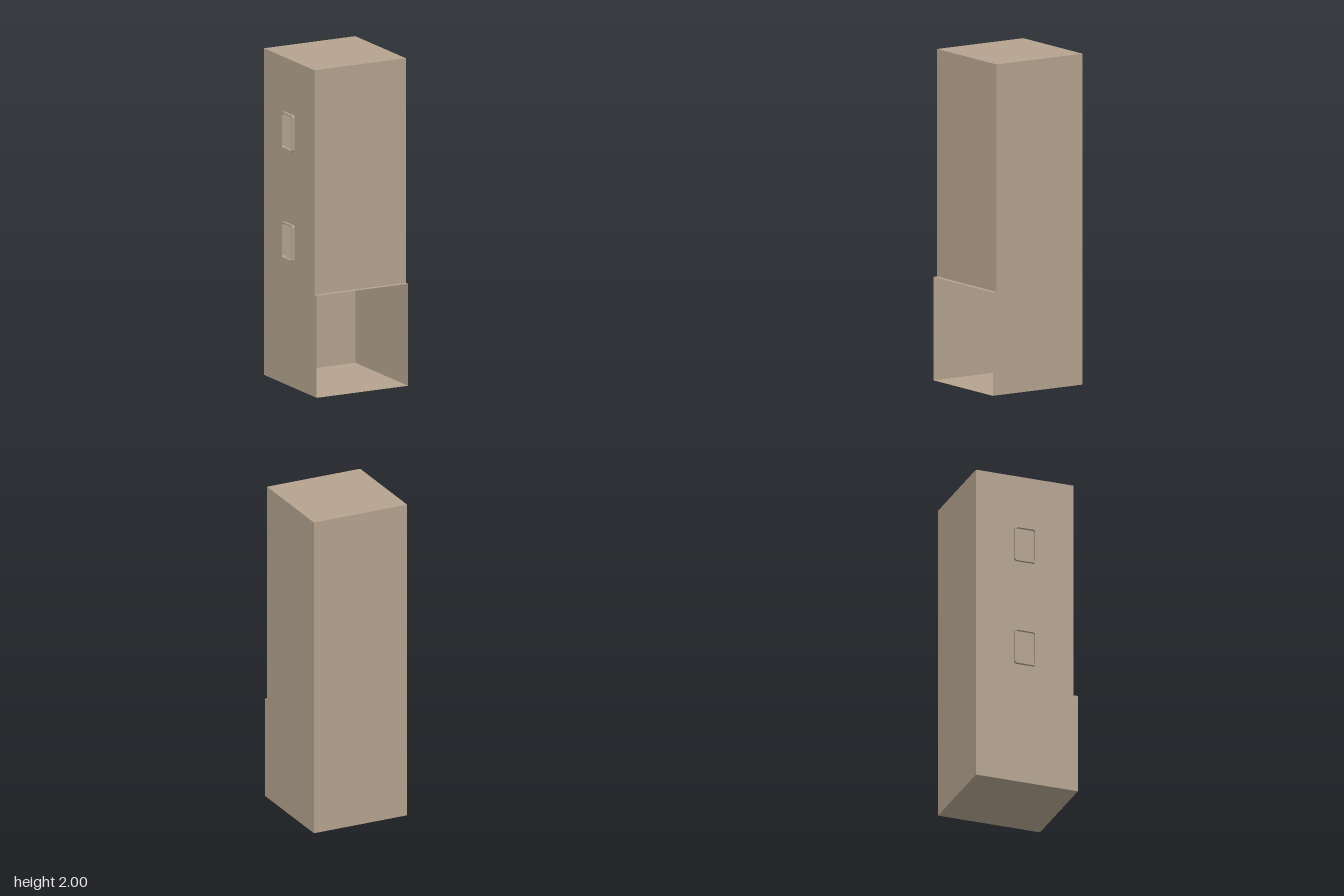
import * as THREE from 'three';

const LEFT = 0.318, RIGHT = -0.302;         // side walls (x)
const BACK = -0.325, FRONT = 0.297, STEP = 0.325; // back, upper front, lower front (z)
const TOP = 2, LEDGE = 0.625;
const WINDOWS = [0.77, 1.443];              // window sill heights
const WIN = { z: -0.082, w: 0.136, h: 0.226, rim: 0.01, out: 0.017 };

// Rectangle with rounded corners, traced onto a Shape or Path
function roundRect(path, x, y, w, h, r) {
  path.moveTo(x + r, y);
  path.lineTo(x + w - r, y);
  path.absarc(x + w - r, y + r, r, -Math.PI / 2, 0);
  path.lineTo(x + w, y + h - r);
  path.absarc(x + w - r, y + h - r, r, 0, Math.PI / 2);
  path.lineTo(x + r, y + h);
  path.absarc(x + r, y + h - r, r, Math.PI / 2, Math.PI);
  path.lineTo(x, y + r);
  path.absarc(x + r, y + r, r, Math.PI, Math.PI * 1.5);
  return path;
}

const windowHole = (y) => roundRect(new THREE.Path(), WIN.z + WIN.rim, y + WIN.rim,
  WIN.w - 2 * WIN.rim, WIN.h - 2 * WIN.rim, 0.01);

// Stepped side outline; s = -1 mirrors it front to back
const sideShape = (s) => new THREE.Shape([
  [BACK, 0], [STEP, 0], [STEP, LEDGE], [FRONT, LEDGE], [FRONT, TOP], [BACK, TOP],
].map(([z, y]) => new THREE.Vector2(s * z, y)));

export function createModel() {
  const group = new THREE.Group();
  const material = new THREE.MeshStandardMaterial({ color: 0xb3a28e, side: THREE.DoubleSide });
  const add = (name, geometry, x, y, z) => {
    const mesh = new THREE.Mesh(geometry, material);
    mesh.name = name;
    mesh.position.set(x, y, z);
    group.add(mesh);
  };
  const width = LEFT - RIGHT, cx = (LEFT + RIGHT) / 2;
  const upright = (h) => new THREE.PlaneGeometry(width, h);
  const flat = (z0, z1) => new THREE.PlaneGeometry(width, z1 - z0).rotateX(-Math.PI / 2);

  // Thin shell, open at the lower front
  add('backWall', upright(TOP).rotateY(Math.PI), cx, TOP / 2, BACK);
  add('upperFrontWall', upright(TOP - LEDGE), cx, (TOP + LEDGE) / 2, FRONT);
  add('roof', flat(BACK, FRONT), cx, TOP, (BACK + FRONT) / 2);
  add('frontLedge', flat(FRONT, STEP), cx, LEDGE, (FRONT + STEP) / 2);
  add('floor', flat(BACK, STEP).rotateX(Math.PI), cx, 0, (BACK + STEP) / 2);

  // Side walls, the right one pierced by the windows
  add('leftWall', new THREE.ShapeGeometry(sideShape(-1)).rotateY(Math.PI / 2), LEFT, 0, 0);
  const pierced = sideShape(1);
  pierced.holes.push(...WINDOWS.map(windowHole));
  add('rightWall', new THREE.ShapeGeometry(pierced).rotateY(-Math.PI / 2), RIGHT, 0, 0);

  // Raised window frames
  for (const y of WINDOWS) {
    const frame = roundRect(new THREE.Shape(), WIN.z, y, WIN.w, WIN.h, 0.016);
    frame.holes.push(windowHole(y));
    const geometry = new THREE.ExtrudeGeometry(frame, { depth: WIN.out, bevelEnabled: false });
    add('windowFrame', geometry.rotateY(-Math.PI / 2), RIGHT, 0, 0);
  }
  return group;
}
